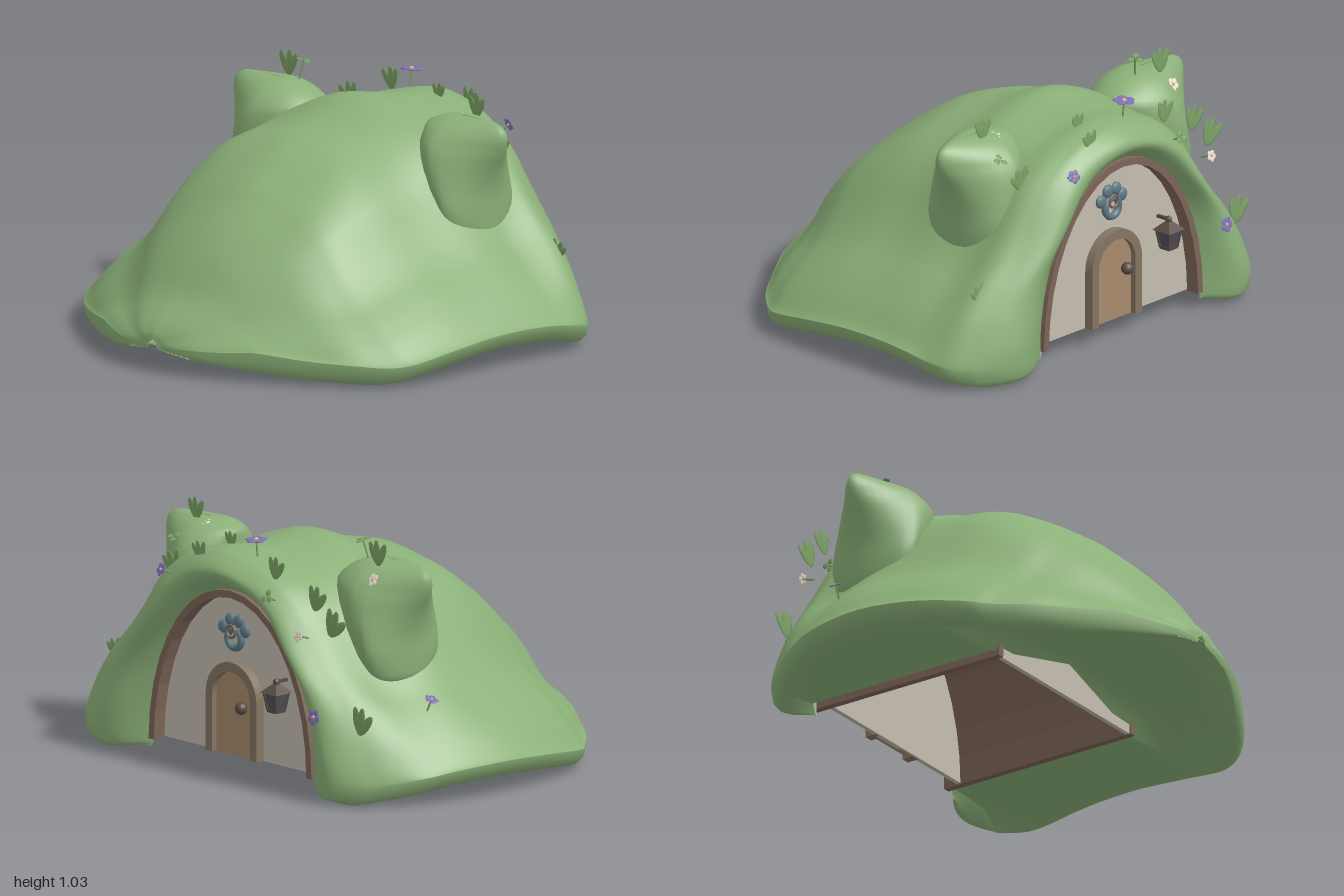
import * as THREE from 'three';
import { mergeVertices } from 'three/addons/utils/BufferGeometryUtils.js';

const V = (x, y, z) => new THREE.Vector3(x, y, z);
const mat = (color, flatShading = false) =>
  new THREE.MeshStandardMaterial({ color, roughness: 0.9, flatShading, side: THREE.DoubleSide });
const GRASS = mat(0x8bb078), LEAF = mat(0x7ba266), TIMBER = mat(0x7d6558, true), PLASTER = mat(0xc4bcb0);
const WOOD = mat(0xa88a6c), TRIM = mat(0x857563), IRON = mat(0x5b4c44, true), GLASS = mat(0x4c4f58, true);
const BLUE = mat(0x5f7a84), PURPLE = mat(0x7f70bb), WHITE = mat(0xe6dccf), YELLOW = mat(0xd6b45e);

function add(parent, name, geometry, material, x = 0, y = 0, z = 0) {
  const m = new THREE.Mesh(geometry, material);
  m.name = name;
  m.position.set(x, y, z);
  parent.add(m);
  return m;
}

// Smooth skin through rows of points
function loft(rows) {
  const n = rows[0].length, index = [];
  for (let i = 0; i < rows.length - 1; i++) {
    for (let j = 0; j < n - 1; j++) {
      const a = i * n + j, b = a + n;
      index.push(a, b, a + 1, b, b + 1, a + 1);
    }
  }
  let g = new THREE.BufferGeometry();
  g.setAttribute('position', new THREE.Float32BufferAttribute(rows.flat().flatMap(p => p.toArray()), 3));
  g.setIndex(index);
  g = mergeVertices(g, 1e-5);
  g.computeVertexNormals();
  return g;
}

// Side-to-side slices of the hill: x, crest height, bottom height, least z, greatest z
const SLICES = [
  [-0.85, 0.15, 0.11, -0.05, 0.02], [-0.84, 0.18, 0.1, -0.15, 0.11], [-0.8, 0.225, 0.08, -0.27, 0.25],
  [-0.7, 0.31, 0.06, -0.45, 0.46], [-0.6, 0.45, 0.04, -0.6, 0.63], [-0.5, 0.56, 0.03, -0.74, 0.78],
  [-0.4, 0.65, 0.02, -0.84, 0.88], [-0.3, 0.73, 0.03, -0.92, 0.94], [-0.1, 0.85, 0.06, -0.98, 0.97],
  [0.12, 0.905, 0.08, -1, 0.98], [0.3, 0.97, 0.08, -0.985, 0.985], [0.45, 0.955, 0.07, -0.95, 0.99],
  [0.56, 0.945, 0.05, -0.9, 0.985], [0.66, 0.95, 0.03, -0.83, 0.96], [0.74, 0.935, 0.015, -0.76, 0.88],
];
const spline = f => new THREE.CatmullRomCurve3(SLICES.map(f), false, 'catmullrom', 0.5);
const crestLine = spline(s => V(s[0], s[1], s[2])), sideLine = spline(s => V(s[3], s[4], 0));
const bellLine = new THREE.SplineCurve([1, 0.985, 0.95, 0.905, 0.835, 0.72, 0.52, 0.365, 0.26, 0.14, 0]
  .map((f, i) => new THREE.Vector2(i / 10, f)));
const ARCS = 48, UNDER = 5;
const { lerp, clamp, smoothstep } = THREE.MathUtils;

function hillSlice(t) {
  const { x, y: h, z: yb } = crestLine.getPoint(t), s = sideLine.getPoint(t);
  const mid = (s.x + s.y) / 2, w = (s.y - s.x) / 2;
  const rim = yb + Math.min(0.08, 0.35 * (h - yb));
  // The underside is cupped; it stops at the vault or meets in the middle behind it
  const beside = x > -0.17, inner = beside ? Math.min(0.48, w * 0.6) : 0;
  const cup = beside ? 0.1 : yb + Math.min(0.16, 0.45 * (h - yb));
  const flare = 1 - 0.45 * smoothstep(x, 0.45, 0.74);
  const under = sign => [
    V(x, cup, sign * inner),
    V(x, lerp(yb, cup, 0.85), mid + sign * lerp(w, inner, 0.45)),
    V(x, yb, mid + sign * w * 0.91), V(x, yb + 0.01, mid + sign * w * 0.95),
    V(x, (yb + rim) / 2, mid + sign * w * 0.99),
  ];
  const over = [];
  for (let j = 0; j <= ARCS; j++) {
    const q = Math.sin((0.5 - j / ARCS) * Math.PI), a = Math.abs(q);
    const dome = Math.pow(1 - a * a, 0.62), f = lerp(dome, bellLine.getPoint(a).y, flare);
    const z = mid + q * w;
    const bump = 0.014 * Math.sin(8 * x + 3 * z) * Math.sin(7 * z + 1) * Math.min(1, 4 * a) * f;
    over.push(V(x, rim + (h - rim) * f + bump, z));
  }
  return [...under(1), ...over, ...under(-1).reverse()];
}

function hillGeometry() {
  const rows = [];
  for (let i = 0; i <= 70; i++) rows.push(hillSlice(i / 70));
  // Rounded lip rolling from the last slice into the doorway arch
  const last = rows[rows.length - 1], top = last.length - 1;
  for (let i = 1; i <= 14; i++) {
    const k = i / 14, roll = Math.sin(Math.PI * k);
    rows.push(last.map((p, j) => {
      const a = clamp((j - UNDER) / ARCS, 0, 1) * Math.PI;
      const edge = Math.min(j, top - j, UNDER) / UNDER;
      const arch = V(0, lerp(0.045, 0.085, edge) + 0.7 * Math.sin(a), 0.02 + 0.475 * Math.cos(a));
      const q = p.clone().lerp(arch, k);
      const bulge = 0.088 - 0.018 * Math.sin(a) + 0.006 * Math.sin(9 * a);
      q.x = 0.74 + bulge * roll * Math.sin(edge * Math.PI / 2);
      if (edge < 1) q.y -= 0.015 * roll * edge;
      return q;
    }));
  }
  return loft(rows);
}

// Pointed hood on the flank: height, half width, tip distance
function hoodGeometry(sign, cx, back) {
  const levels = [
    [0.45, 0.08, 0.59], [0.475, 0.15, 0.645], [0.54, 0.185, 0.655], [0.65, 0.205, 0.66], [0.75, 0.205, 0.69],
    [0.83, 0.19, 0.73], [0.88, 0.16, 0.745], [0.92, 0.115, 0.735], [0.945, 0.06, 0.69], [0.95, 0.002, 0.6],
  ];
  const curve = new THREE.CatmullRomCurve3(levels.map(l => V(...l)));
  return loft(curve.getPoints(30).map(({ x: y, y: w, z: tip }) => {
    const up = clamp((y - 0.6) / 0.25, 0, 1), zc = 0.57 - 0.07 * up, row = [];
    for (let j = 0; j <= 32; j++) {
      const a = Math.PI + j / 32 * Math.PI * 2, c = Math.cos(a);
      const z = zc + (c > 0 ? (tip - zc) * c : Math.min(back, w * 1.3) * c);
      row.push(V(cx + w * Math.sin(a) * (1 - 0.55 * up * Math.max(c, 0)), y, sign * z));
    }
    return row;
  }));
}

// Arched outline: half width, straight height, rise of the curve
function archPoints(w, straight, rise, n) {
  const pts = [new THREE.Vector2(w, 0)];
  for (let i = 0; i <= n; i++) {
    const a = i / n * Math.PI;
    pts.push(new THREE.Vector2(w * Math.cos(a), straight + rise * Math.sin(a)));
  }
  pts.push(new THREE.Vector2(-w, 0));
  return pts;
}
const slab = (pts, depth) => new THREE.ExtrudeGeometry(new THREE.Shape(pts), { depth, bevelEnabled: false })
  .rotateY(Math.PI / 2);
const archBand = (outer, inner, depth) => slab([...outer, ...inner.slice().reverse()], depth);

// Blossom or clover whose face looks along dir, with a stem behind it
function flower(parent, pos, dir, petalMat, size, stem, petals = 5) {
  const g = new THREE.Group();
  g.name = petalMat === LEAF ? 'clover' : 'flower';
  for (let i = 0; i < petals; i++) {
    const a = i / petals * Math.PI * 2;
    const p = add(g, 'petal', new THREE.SphereGeometry(size * 0.45, 8, 6), petalMat,
      Math.cos(a) * size * 0.6, Math.sin(a) * size * 0.6, 0);
    p.scale.z = 0.2;
  }
  if (petalMat !== LEAF) add(g, 'flowerCentre', new THREE.SphereGeometry(size * 0.25, 8, 6), YELLOW);
  add(g, 'stem', new THREE.CylinderGeometry(0.004, 0.004, stem, 5).rotateX(Math.PI / 2), LEAF, 0, 0, -stem / 2);
  g.position.copy(pos);
  g.quaternion.setFromUnitVectors(V(0, 0, 1), dir.clone().normalize());
  parent.add(g);
}

// Fan of thin leaves spread across z
function sprout(parent, x, y, z, size, lean) {
  const g = new THREE.Group();
  g.name = 'sprout';
  for (const a of [-0.45, 0.1, 0.5]) {
    const leaf = new THREE.SphereGeometry(1, 8, 6).scale(size * 0.03, size * 0.6, size * 0.22)
      .translate(0, size * 0.55, 0).rotateX(a);
    add(g, 'leaf', leaf, LEAF);
  }
  g.position.set(x, y, z);
  g.rotation.x = lean;
  parent.add(g);
}

export function createModel() {
  const model = new THREE.Group();
  model.name = 'hillHouse';
  add(model, 'hill', hillGeometry(), GRASS);
  add(model, 'leftHood', hoodGeometry(1, 0.41, 0.16), GRASS);
  add(model, 'rightHood', hoodGeometry(-1, 0.375, 0.23), GRASS);

  // Timber vault closed by a wall at each end
  const outer = archPoints(0.475, 0, 0.7, 18), inner = archPoints(0.445, 0, 0.67, 18);
  add(model, 'vault', archBand(outer, inner, 0.92), TIMBER, -0.16, 0.085, 0.02);
  add(model, 'frontWall', slab(inner, 0.02), PLASTER, 0.68, 0.09, 0.02);
  add(model, 'backWall', slab(inner, 0.02), PLASTER, -0.155, 0.085, 0.02);

  // Round-topped door
  const jamb = archPoints(0.148, 0.24, 0.15, 20), leaf = archPoints(0.11, 0.24, 0.11, 20);
  add(model, 'doorFrame', archBand(jamb, leaf, 0.05), TRIM, 0.69, 0.09, 0.035);
  add(model, 'door', slab(leaf, 0.025), WOOD, 0.69, 0.09, 0.035);
  add(model, 'doorKnob', new THREE.SphereGeometry(0.026, 16, 12), IRON, 0.74, 0.3, -0.025);

  // Wreath above the door
  add(model, 'wreathRing', new THREE.TorusGeometry(0.04, 0.015, 8, 20).rotateY(Math.PI / 2), BLUE, 0.715, 0.575, 0.04);
  for (const [z, y] of [[0.105, 0.615], [0.065, 0.65], [0.015, 0.65], [-0.02, 0.615]]) {
    add(model, 'wreathTuft', new THREE.SphereGeometry(0.028, 12, 8).scale(0.5, 1, 1), BLUE, 0.715, y, z);
  }
  add(model, 'wreathKnot', new THREE.TorusGeometry(0.025, 0.006, 6, 16).rotateY(Math.PI / 2), TIMBER, 0.73, 0.605, 0.045);

  // Wall lantern
  const lantern = new THREE.Group();
  lantern.name = 'lantern';
  const four = (top, bottom, h) => new THREE.CylinderGeometry(top, bottom, h, 4).rotateY(Math.PI / 4);
  add(lantern, 'lanternGlass', four(0.05, 0.033, 0.075), GLASS, 0, 0.375, 0);
  add(lantern, 'lanternBase', four(0.04, 0.036, 0.012), IRON, 0, 0.335, 0);
  add(lantern, 'lanternRoof', four(0.016, 0.066, 0.035), IRON, 0, 0.428, 0);
  add(lantern, 'lanternCap', new THREE.SphereGeometry(0.014, 8, 6), IRON, 0, 0.455, 0);
  add(lantern, 'bracket', new THREE.BoxGeometry(0.07, 0.012, 0.014), IRON, -0.03, 0.455, 0);
  for (const sx of [-1, 1]) for (const sz of [-1, 1]) {
    const bar = add(lantern, 'lanternBar', new THREE.BoxGeometry(0.008, 0.08, 0.008), IRON, sx * 0.03, 0.375, sz * 0.03);
    bar.rotation.set(sz * 0.15, 0, -sx * 0.15);
  }
  lantern.position.set(0.76, 0, -0.25);
  model.add(lantern);

  // Flowers and clovers: x, y, z, facing, petals, size, stem, petal count
  const plants = [
    [0.69, 1.0, -0.06, V(0.1, 1, 0), PURPLE, 0.045, 0.07], [0.41, 0.42, -0.79, V(0, 1, -0.5), PURPLE, 0.028, 0.08],
    [0.82, 0.37, -0.53, V(1, 0.2, 0), PURPLE, 0.032, 0.05], [0.81, 0.82, 0.37, V(1, 0.4, 0.2), PURPLE, 0.028, 0.08],
    [0.78, 0.3, 0.7, V(1, 0.3, 0.6), WHITE, 0.03, 0.05], [0.51, 0.89, -0.55, V(1, 0.6, 0), WHITE, 0.028, 0.05],
    [0.47, 0.94, 0.47, V(0.3, 1, 0), WHITE, 0.026, 0.04], [0.82, 0.69, -0.44, V(1, 0.3, 0), WHITE, 0.024, 0.06],
    [0.57, 0.88, 0.55, V(0.6, 1, 0), LEAF, 0.03, 0.06, 3], [0.43, 1.02, -0.41, V(0.2, 1, 0.2), LEAF, 0.035, 0.08, 3],
    [0.82, 0.82, -0.26, V(1, 0.5, 0), LEAF, 0.03, 0.05, 3],
  ];
  for (const [x, y, z, ...rest] of plants) flower(model, V(x, y, z), ...rest);

  // Leaf sprouts: x, y, z, size, lean about x
  const sprouts = [
    [0.46, 0.94, 0.53, 0.08, 0], [0.46, 0.94, -0.53, 0.09, 0], [0.67, 0.36, 0.77, 0.07, 0.4],
    [0.63, 0.75, 0.47, 0.09, 0.4], [0.75, 0.88, 0.2, 0.07, 0.2], [0.63, 0.92, 0.15, 0.06, 0],
    [0.75, 0.88, -0.23, 0.08, -0.2], [0.72, 0.78, -0.43, 0.09, -0.3], [0.72, 0.69, -0.52, 0.1, -0.5],
    [0.72, 0.31, -0.69, 0.1, -0.3],
  ];
  for (const s of sprouts) sprout(model, ...s);
  return model;
}
